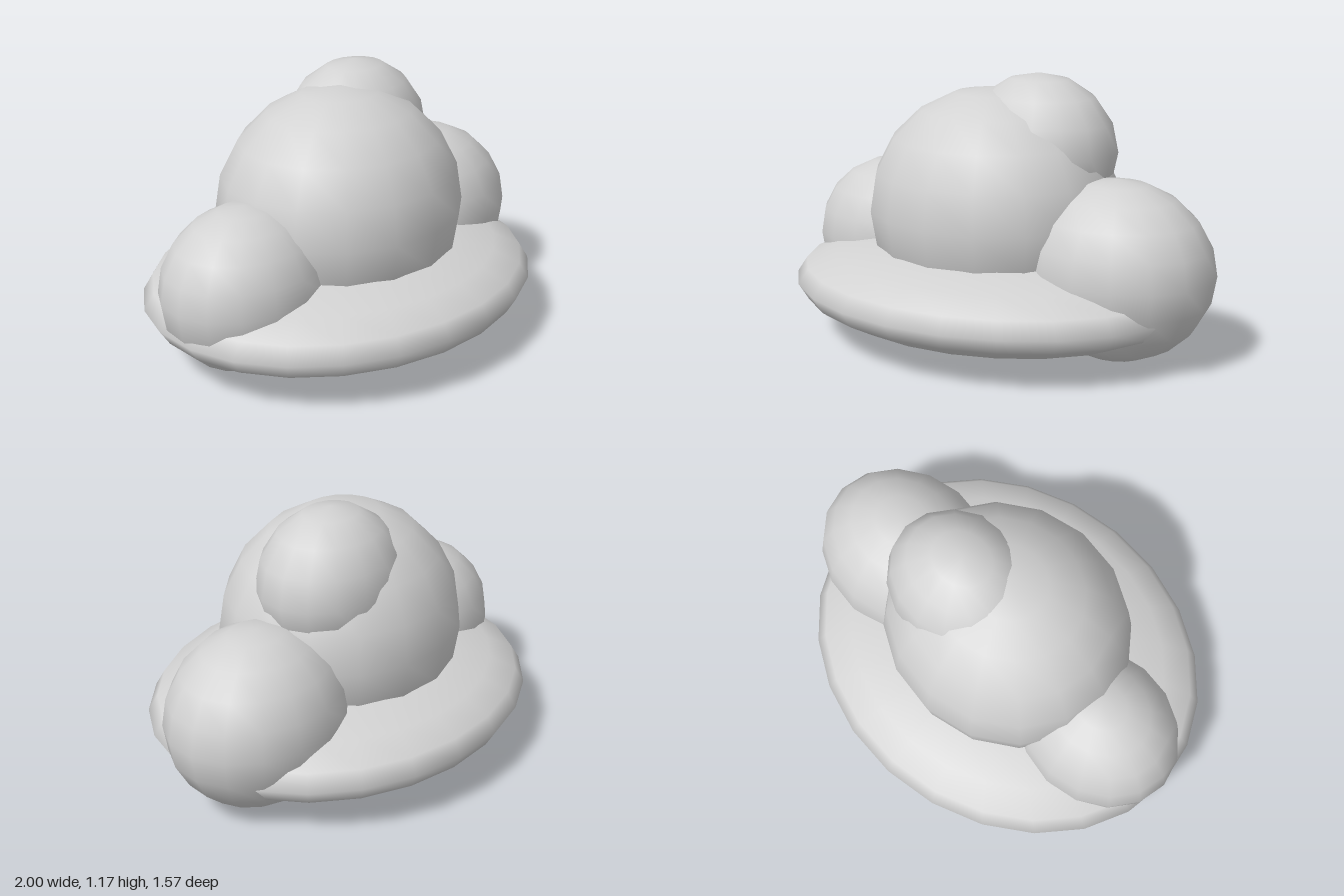
import * as THREE from 'three';

// One smooth ellipsoid puff: centre, radii, segments around, segments in height
function puff(name, material, centre, radii, around, high) {
  const geometry = new THREE.SphereGeometry(1, around, high);
  geometry.scale(...radii);
  const mesh = new THREE.Mesh(geometry, material);
  mesh.name = name;
  mesh.position.set(...centre);
  return mesh;
}

export function createModel() {
  const cloud = new THREE.Group();
  cloud.name = 'cloud';

  const grey = new THREE.MeshStandardMaterial({ color: 0xd2d2d2 });
  grey.name = 'cloud grey';

  cloud.add(
    // wide flat underside
    puff('base', grey, [-0.04, 0.245, 0], [0.945, 0.22, 0.785], 24, 10),
    // large middle body
    puff('mainPuff', grey, [-0.045, 0.57, 0], [0.57, 0.54, 0.515], 16, 10),
    // side lobes
    puff('leftPuff', grey, [0.57, 0.39, 0], [0.43, 0.385, 0.363], 16, 10),
    puff('rightPuff', grey, [-0.61, 0.378, -0.04], [0.39, 0.353, 0.33], 16, 10),
    // small lobe on top, towards the back
    puff('topPuff', grey, [0.14, 0.845, -0.07], [0.355, 0.33, 0.295], 16, 8),
  );
  return cloud;
}
